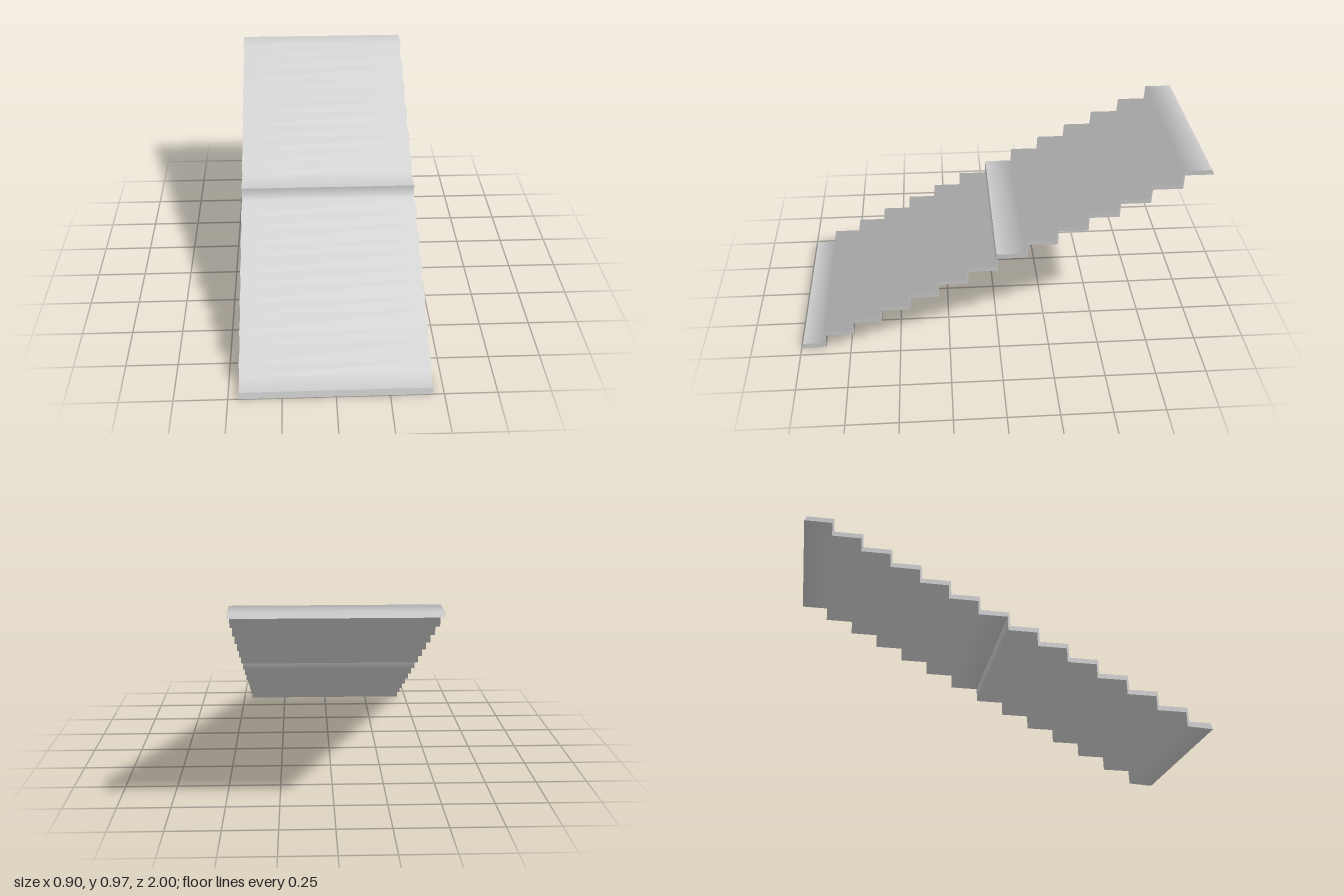
import * as THREE from 'three';

const HALF = 0.45, STEPS = 14, SEAM = 14;

// Profile points are [z, y]; the normals are averaged along the path.
function ribbon(path) {
  const segN = [];
  for (let i = 0; i < path.length - 1; i++) {
    const dz = path[i + 1][0] - path[i][0], dy = path[i + 1][1] - path[i][1];
    segN.push(new THREE.Vector3(0, -dz, dy).normalize());
  }
  const pos = [], nor = [], idx = [];
  path.forEach(([z, y], i) => {
    const n = new THREE.Vector3();
    if (i > 0) n.add(segN[i - 1]);
    if (i < segN.length) n.add(segN[i]);
    n.normalize();
    pos.push(-HALF, y, z, HALF, y, z);
    nor.push(n.x, n.y, n.z, n.x, n.y, n.z);
    const a = 2 * i;
    if (i < segN.length) idx.push(a, a + 1, a + 3, a, a + 3, a + 2);
  });
  const g = new THREE.BufferGeometry();
  g.setAttribute('position', new THREE.Float32BufferAttribute(pos, 3));
  g.setAttribute('normal', new THREE.Float32BufferAttribute(nor, 3));
  g.setIndex(idx);
  return g;
}

// Flat side wall, dir = +1 for the left side and -1 for the right.
function sideWall(outline, dir) {
  const shape = new THREE.Shape(outline.map(([z, y]) => new THREE.Vector2(-dir * z, y)));
  return new THREE.ShapeGeometry(shape).rotateY(dir * Math.PI / 2).translate(dir * HALF, 0, 0);
}

export function createModel() {
  const group = new THREE.Group();
  group.name = 'staircase';
  const material = new THREE.MeshStandardMaterial({ color: 0xcccccc });
  const add = (name, geometry) => {
    const mesh = new THREE.Mesh(geometry, material);
    mesh.name = name;
    group.add(mesh);
  };

  // Stepped top and underside: two points per tread
  const frontZ = (k) => 0.88 - (k - 1) * 0.1446;
  const top = [], bottom = [];
  for (let k = 0; k < STEPS; k++) {
    const y = 0.03 + k * 0.0723, under = y - 0.024;
    const last = k === STEPS - 1;
    top.push(k === 0 ? [0.99, y] : [frontZ(k), y]);
    top.push(last ? [-0.988, y] : [frontZ(k + 1) + 0.004, y]);
    bottom.push(k === 0 ? [1, 0] : [frontZ(k) - 0.008, under]);
    bottom.push(last ? [-1, under] : [frontZ(k + 1) - 0.006, under]);
  }
  const end = top.length - 1;

  // Smooth shading breaks at the middle step
  add('lowerFlightTop', ribbon(top.slice(0, SEAM + 1)));
  add('upperFlightTop', ribbon(top.slice(SEAM)));
  add('lowerFlightUnderside', ribbon(bottom.slice(0, SEAM + 1).reverse()));
  add('upperFlightUnderside', ribbon(bottom.slice(SEAM).reverse()));

  // Closing edges
  add('frontEdge', ribbon([bottom[0], top[0]]));
  add('backEdge', ribbon([top[end], bottom[end]]));
  const outline = [...top, ...bottom.slice().reverse()];
  add('leftSide', sideWall(outline, 1));
  add('rightSide', sideWall(outline, -1));
  return group;
}
